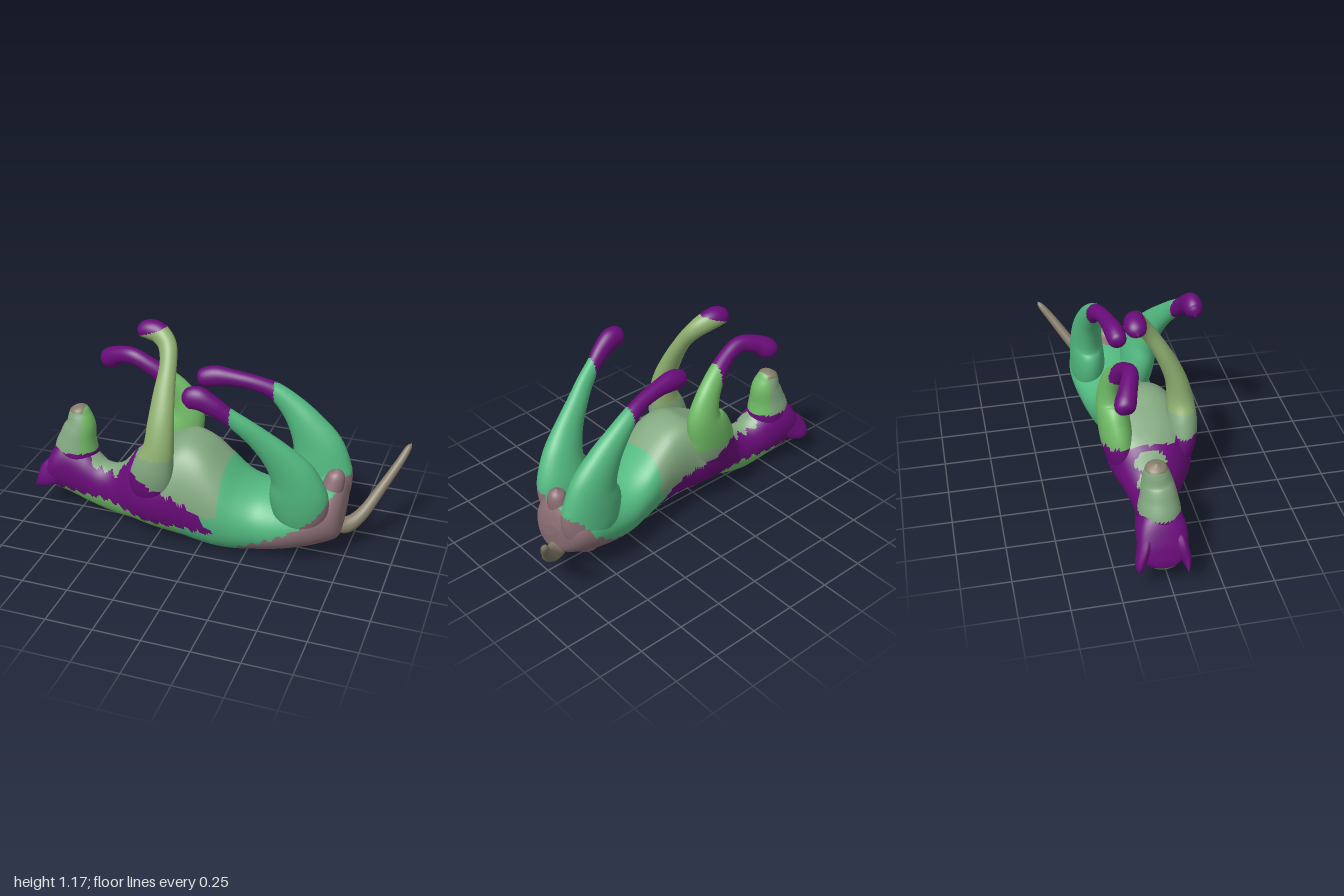
import * as THREE from 'three';

const COL = {
  purple: 0x6a0c7a, sea: 0x52b980, leaf: 0x70bb66, sage: 0x82a880,
  pale: 0x8fb070, rose: 0x8c7076, bone: 0x857c68,
};
const V = (x, y, z) => new THREE.Vector3(x, y, z);
const { smoothstep } = THREE.MathUtils;

// Closed loft through rows [x, y, z, radius across, radius along z].
// paint(point) names the colour of each face; every colour becomes one mesh.
function loft(name, rows, paint, { steps = 8, sides = 32, straight = false, shape } = {}) {
  const smooth = (pts) => new THREE.CatmullRomCurve3(pts, false, 'catmullrom', 0.5);
  const path = smooth(rows.map((r) => V(r[0], r[1], r[2])));
  const size = smooth(rows.map((r) => V(r[3], r[4], 0)));
  const n = (rows.length - 1) * steps;
  const pos = [];
  for (let i = 0; i <= n; i++) {
    const c = path.getPoint(i / n), s = size.getPoint(i / n);
    const t = straight ? V(1, 0, 0) : path.getTangent(i / n);
    const side = V(0, 0, 1).addScaledVector(t, -t.z).normalize();
    const up = side.clone().cross(t);
    for (let j = 0; j < sides; j++) {
      const a = (j / sides) * Math.PI * 2;
      const p = c.clone()
        .addScaledVector(up, Math.max(s.x, 0.001) * Math.sin(a))
        .addScaledVector(side, Math.max(s.y, 0.001) * Math.cos(a));
      if (shape) shape(p, c, Math.sin(a));
      pos.push(p.x, p.y, p.z);
    }
  }
  const at = (k) => V(pos[k * 3], pos[k * 3 + 1], pos[k * 3 + 2]);
  const all = [], zones = {};
  const face = (a, b, c) => {
    all.push(a, b, c);
    const key = paint(at(a).add(at(b)).add(at(c)).divideScalar(3));
    (zones[key] ??= []).push(a, b, c);
  };
  for (let i = 0; i < n; i++) {
    for (let j = 0; j < sides; j++) {
      const k = (j + 1) % sides, a = i * sides, b = a + sides;
      face(a + j, b + j, a + k);
      face(b + j, b + k, a + k);
    }
  }
  for (let j = 1; j < sides - 1; j++) {
    face(0, j, j + 1);
    face(n * sides, n * sides + j + 1, n * sides + j);
  }
  const base = new THREE.BufferGeometry();
  base.setAttribute('position', new THREE.Float32BufferAttribute(pos, 3));
  base.setIndex(all);
  base.computeVertexNormals();
  const group = new THREE.Group();
  group.name = name;
  for (const key in zones) {
    const g = base.clone().setIndex(zones[key]);
    const mesh = new THREE.Mesh(g, new THREE.MeshStandardMaterial({ color: COL[key] }));
    mesh.name = `${name} ${key}`;
    group.add(mesh);
  }
  return group;
}

// Piecewise-linear lookup
function ramp(x, table) {
  for (let i = 1; i < table.length; i++) {
    const [x0, y0] = table[i - 1], [x1, y1] = table[i];
    if (x <= x1) return y0 + ((y1 - y0) * Math.max(x - x0, 0)) / (x1 - x0);
  }
  return table[table.length - 1][1];
}

// Fur patches of the trunk
const patchTop = [[-1, 0.42], [-0.85, 0.45], [-0.7, 0.37], [-0.62, 0.3], [-0.5, 0.3], [-0.4, 0.45],
  [-0.3, 0.43], [-0.2, 0.36], [0, 0.27], [0.1, 0.15]];
const rumpTop = [[0.15, 0.02], [0.5, 0.22], [0.62, 0.32], [0.68, 0.41], [0.75, 0.45]];
function coat(p) {
  const ragged = 0.012 * Math.sin(p.x * 90);
  if (p.x < 0.1 && p.y > 0.145 + ragged && p.y < ramp(p.x, patchTop) + ragged) return 'purple';
  if (p.x > 0.15 && p.y < ramp(p.x, rumpTop) + ragged) return 'rose';
  if (p.y < 0.25) return p.x < -0.1 ? 'leaf' : 'sea';
  return p.x > 0.12 ? 'sea' : 'sage';
}

export function createModel() {
  const model = new THREE.Group();
  model.name = 'dog lying on its back';

  // Head, neck and trunk: x, bottom, top, right edge, left edge
  const trunk = [
    [-0.965, 0.16, 0.2, -0.08, 0.02], [-0.94, 0.13, 0.29, -0.14, 0.07],
    [-0.88, 0.105, 0.4, -0.155, 0.09], [-0.8, 0.08, 0.435, -0.15, 0.09],
    [-0.7, 0.05, 0.385, -0.13, 0.09], [-0.6, 0.03, 0.32, -0.105, 0.09],
    [-0.5, 0.03, 0.338, -0.1, 0.12], [-0.4, 0.05, 0.45, -0.14, 0.19],
    [-0.3, 0.06, 0.51, -0.18, 0.25], [-0.2, 0.05, 0.56, -0.18, 0.26],
    [-0.1, 0.035, 0.6, -0.16, 0.25], [0, 0.02, 0.575, -0.15, 0.25],
    [0.1, 0.01, 0.5, -0.15, 0.245], [0.2, 0.01, 0.41, -0.16, 0.225],
    [0.3, 0.018, 0.365, -0.18, 0.205], [0.4, 0.038, 0.365, -0.2, 0.205],
    [0.5, 0.065, 0.395, -0.22, 0.205], [0.6, 0.095, 0.435, -0.23, 0.19],
    [0.68, 0.125, 0.445, -0.21, 0.15], [0.722, 0.155, 0.41, -0.155, 0.1], [0.74, 0.24, 0.34, -0.06, 0.02],
  ].map(([x, b, t, r, l]) => [x, (b + t) / 2, (r + l) / 2, (t - b) / 2, (l - r) / 2]);
  model.add(loft('trunk', trunk, coat, {
    sides: 56, straight: true,
    // Flatten the chest, narrow the spine and roll the trunk a little to its left
    shape: (p, c, s) => {
      const roll = smoothstep(p.x, -0.6, -0.2);
      const chest = roll * (1 - smoothstep(p.x, 0, 0.3));
      const flat = Math.max(Math.sqrt(1 - s * s), 0.02) ** (-0.3 * chest * Math.max(s, 0));
      p.z = c.z + (p.z - c.z) * (1 + 0.12 * s) * flat - 0.043 * roll * s;
    },
  }));

  // Muzzle, pointing up
  model.add(loft('muzzle', [
    [-0.79, 0.25, -0.03, 0.1, 0.09], [-0.78, 0.36, -0.03, 0.122, 0.105],
    [-0.765, 0.45, -0.03, 0.1, 0.09], [-0.75, 0.52, -0.035, 0.083, 0.076],
    [-0.756, 0.58, -0.04, 0.062, 0.061], [-0.763, 0.615, -0.04, 0.043, 0.045], [-0.768, 0.634, -0.04, 0, 0],
  ], (p) => (p.y < 0.38 ? 'purple' : p.x > -0.72 ? 'leaf' : p.y > 0.6 ? 'bone' : 'sage')));

  // Ears
  for (const [name, x, z, tip] of [['leftEar', -1, 0.03, 0.07], ['rightEar', -0.972, -0.1, -0.158]]) {
    model.add(loft(name, [
      [-0.84, 0.28, z, 0.07, 0.045], [-0.9, 0.23, (z + tip) / 2, 0.075, 0.036],
      [-0.95, 0.18, tip, 0.042, 0.022], [x, 0.142, tip, 0, 0],
    ], () => 'purple', { sides: 16 }));
  }

  // Front legs
  model.add(loft('leftFrontLeg', [
    [-0.27, 0.26, 0.18, 0.06, 0.05], [-0.26, 0.36, 0.2, 0.11, 0.07],
    [-0.235, 0.47, 0.208, 0.11, 0.08], [-0.205, 0.59, 0.205, 0.082, 0.068],
    [-0.2, 0.72, 0.18, 0.07, 0.054], [-0.202, 0.86, 0.12, 0.057, 0.044],
    [-0.205, 0.99, 0.045, 0.045, 0.039], [-0.228, 1.07, -0.012, 0.05, 0.043],
    [-0.28, 1.115, -0.045, 0.054, 0.05], [-0.335, 1.128, -0.054, 0.052, 0.054],
    [-0.385, 1.12, -0.055, 0.036, 0.042], [-0.411, 1.115, -0.055, 0, 0],
  ], (p) => {
    if (p.y < 0.45) return coat(p);
    return p.y > 1.12 + (p.x + 0.34) * 0.4 ? 'purple' : p.y < 0.55 ? 'sage' : 'pale';
  }));

  model.add(loft('rightFrontLeg', [
    [-0.28, 0.26, -0.1, 0.08, 0.06], [-0.265, 0.39, -0.125, 0.14, 0.082],
    [-0.22, 0.52, -0.142, 0.135, 0.082], [-0.18, 0.625, -0.15, 0.1, 0.07],
    [-0.205, 0.735, -0.145, 0.074, 0.055], [-0.278, 0.828, -0.125, 0.055, 0.047],
    [-0.37, 0.9, -0.105, 0.043, 0.041], [-0.46, 0.937, -0.105, 0.045, 0.041],
    [-0.55, 0.918, -0.132, 0.048, 0.045], [-0.61, 0.882, -0.157, 0.056, 0.052],
    [-0.643, 0.862, -0.165, 0.04, 0.04], [-0.655, 0.855, -0.165, 0, 0],
  ], (p) => (p.x < -0.28 && p.y > 0.79 ? 'purple' : p.y < 0.45 ? coat(p) : 'leaf')));

  // Hind legs
  const hindCoat = (edge) => (p) =>
    p.x < edge && p.y > 0.7 ? 'purple' : p.y < ramp(p.x, rumpTop) ? 'rose' : 'sea';
  model.add(loft('leftHindLeg', [
    [0.53, 0.2, 0.1, 0.08, 0.07], [0.53, 0.3, 0.12, 0.14, 0.09],
    [0.525, 0.42, 0.14, 0.152, 0.094], [0.5, 0.54, 0.165, 0.122, 0.08],
    [0.435, 0.65, 0.198, 0.088, 0.06], [0.355, 0.745, 0.23, 0.064, 0.047],
    [0.27, 0.83, 0.265, 0.05, 0.038], [0.19, 0.893, 0.29, 0.044, 0.036],
    [0.12, 0.945, 0.31, 0.051, 0.043], [0.05, 0.98, 0.32, 0.06, 0.049],
    [0, 0.965, 0.323, 0.047, 0.041], [-0.028, 0.95, 0.323, 0, 0],
  ], hindCoat(0.21)));

  model.add(loft('rightHindLeg', [
    [0.58, 0.18, -0.1, 0.08, 0.07], [0.575, 0.3, -0.135, 0.155, 0.095],
    [0.562, 0.43, -0.145, 0.174, 0.093], [0.547, 0.55, -0.148, 0.14, 0.083],
    [0.48, 0.67, -0.148, 0.098, 0.069], [0.4, 0.765, -0.148, 0.068, 0.054],
    [0.31, 0.84, -0.14, 0.048, 0.043], [0.21, 0.88, -0.12, 0.04, 0.038],
    [0.1, 0.898, -0.105, 0.043, 0.041], [0.01, 0.9, -0.095, 0.054, 0.048],
    [-0.05, 0.888, -0.088, 0.052, 0.048], [-0.08, 0.88, -0.085, 0.037, 0.035], [-0.093, 0.875, -0.085, 0, 0],
  ], hindCoat(0.31)));

  // Small bump between the hind legs
  model.add(loft('rumpBump', [
    [0.65, 0.36, -0.015, 0.06, 0.08], [0.67, 0.43, -0.015, 0.055, 0.06],
    [0.68, 0.49, -0.018, 0.04, 0.04], [0.68, 0.518, -0.02, 0, 0],
  ], () => 'rose', { sides: 20 }));

  // Tail
  model.add(loft('tail', [
    [0.66, 0.19, -0.03, 0.05, 0.045], [0.74, 0.17, -0.055, 0.044, 0.045],
    [0.81, 0.22, -0.11, 0.034, 0.034], [0.88, 0.33, -0.2, 0.027, 0.028],
    [0.95, 0.45, -0.29, 0.022, 0.023], [0.985, 0.52, -0.345, 0.016, 0.016], [0.998, 0.542, -0.362, 0, 0],
  ], () => 'bone', { sides: 18 }));

  return model;
}
